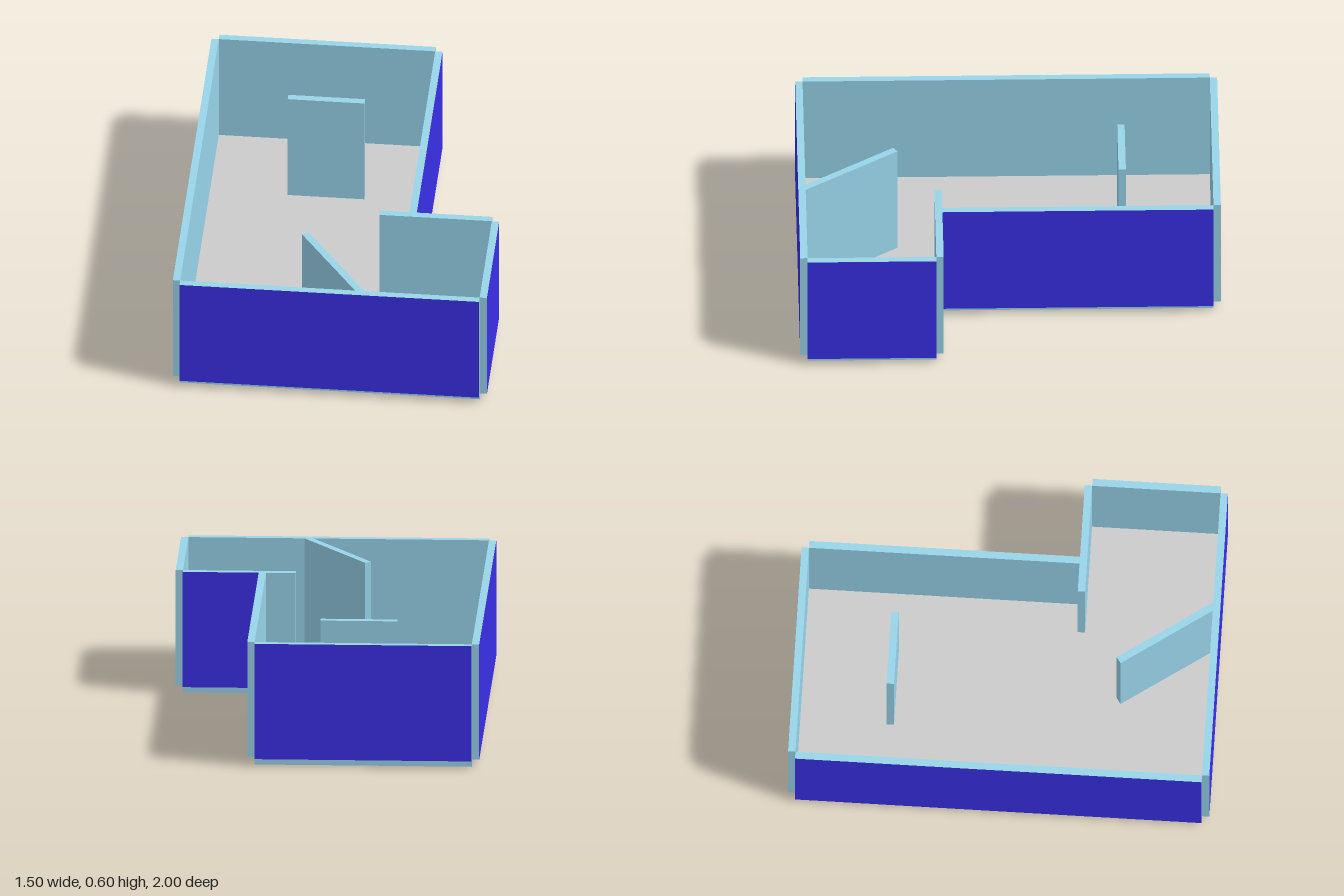
import * as THREE from 'three';

const T = 0.035, FLOOR = 0.035, TOP = 0.6;
const teal = new THREE.MeshStandardMaterial({ color: 0x98d4ea });
const blue = new THREE.MeshStandardMaterial({ color: 0x3a2fe8 });
const grey = new THREE.MeshStandardMaterial({ color: 0xcccccc });

// Box face order used to pick the painted outside face
const FACES = ['+x', '-x', '+y', '-y', '+z', '-z'];

// Upright wall between plan limits, with an optional blue outside face
function wall(name, x0, x1, z0, z1, outside) {
  const geometry = new THREE.BoxGeometry(x1 - x0, TOP - FLOOR, z1 - z0);
  const mesh = new THREE.Mesh(geometry, FACES.map((f) => (f === outside ? blue : teal)));
  mesh.position.set((x0 + x1) / 2, (TOP + FLOOR) / 2, (z0 + z1) / 2);
  mesh.name = name;
  return mesh;
}

// L-shaped slab: teal underside and edges, grey top
function floorSlab() {
  const plan = [[-0.715, 0.965], [0.71, 0.965], [0.71, 0.355], [0.315, 0.355], [0.315, -0.965], [-0.715, -0.965]];
  const shape = new THREE.Shape(plan.map(([x, z]) => new THREE.Vector2(x, -z)));
  const geometry = new THREE.ExtrudeGeometry(shape, { depth: FLOOR, bevelEnabled: false });
  geometry.rotateX(-Math.PI / 2);
  const lid = (plan.length - 2) * 3;
  geometry.clearGroups();
  geometry.addGroup(0, lid, 0);
  geometry.addGroup(lid, lid, 1);
  geometry.addGroup(lid * 2, Infinity, 0);
  const mesh = new THREE.Mesh(geometry, [teal, grey]);
  mesh.name = 'floor';
  return mesh;
}

// Slanted partition from the room into the front wall
function slantedPartition() {
  const a = new THREE.Vector2(-0.16, 0.535), b = new THREE.Vector2(0.15, 0.982);
  const mesh = new THREE.Mesh(new THREE.BoxGeometry(a.distanceTo(b), TOP - FLOOR, T), teal);
  mesh.position.set((a.x + b.x) / 2, (TOP + FLOOR) / 2, (a.y + b.y) / 2);
  mesh.rotation.y = -Math.atan2(b.y - a.y, b.x - a.x);
  mesh.name = 'slantedPartition';
  return mesh;
}

export function createModel() {
  const model = new THREE.Group();
  model.name = 'roomLayout';
  model.add(
    floorSlab(),
    // Outer walls
    wall('frontWall', -0.715, 0.71, 0.965, 1, '+z'),
    wall('backWall', -0.715, 0.315, -1, -0.965, '-z'),
    wall('longSideWall', -0.75, -0.715, -0.965, 0.965, '-x'),
    wall('mainRoomSideWall', 0.315, 0.35, -0.965, 0.32, '+x'),
    wall('alcoveSideWall', 0.71, 0.745, 0.355, 0.965, '+x'),
    wall('alcoveBackWall', 0.35, 0.71, 0.32, 0.355, '-z'),
    // Inner walls
    wall('alcoveWallStub', 0.175, 0.35, 0.32, 0.355),
    wall('freestandingPartition', -0.345, 0.02, -0.555, -0.52),
    slantedPartition()
  );
  return model;
}
